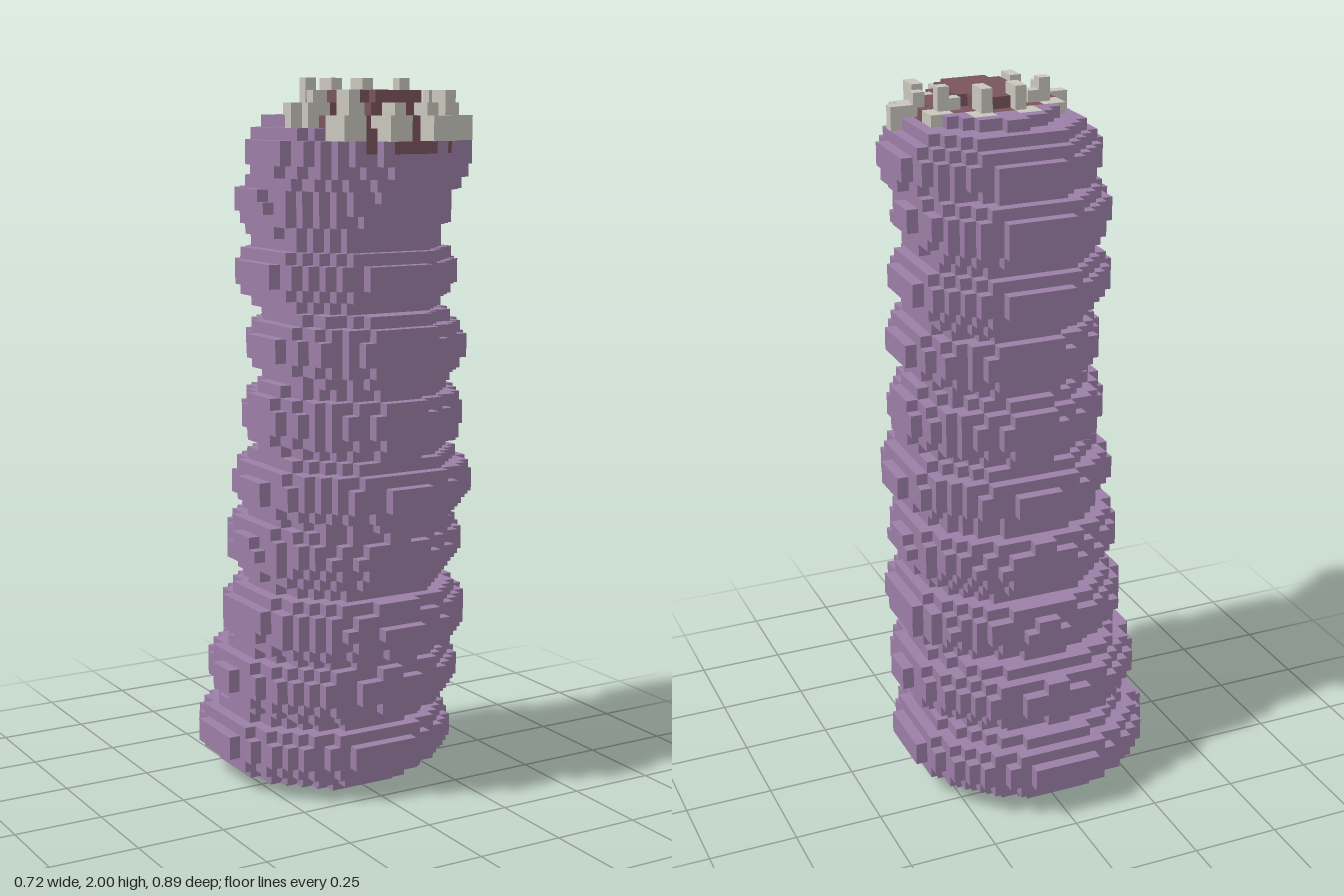
import * as THREE from 'three';

const V = 2 / 61; // voxel size

// Body rings from base to head, in voxels: [centre y, centre z, radius, half height]
const RINGS = [
  [4, -2.5, 10.9, 4.6], [10, -1, 10.65, 4.6], [15.6, 0.95, 10.25, 4.6],
  [21.7, 1, 9.8, 4.6], [27.2, 2.5, 9.75, 4.6], [33, 2.5, 9.15, 4.7],
  [39, 3, 8.9, 4.6], [45, 1.5, 8.95, 4.6], [50.6, 1.1, 8.75, 4.5],
  [54.7, 3.5, 9, 4.9],
];

// Teeth on the model's left, mirrored to the right: boxes as [x0, x1, y0, y1, z0, z1]
const TEETH = [
  [1, 2, 58, 58, 0, 1], [1, 1, 59, 60, 1, 2],
  [4, 5, 57, 58, 2, 3], [3, 4, 58, 59, 3, 3], [4, 4, 59, 60, 3, 3],
  [5, 6, 57, 58, 6, 7], [6, 7, 57, 58, 6, 6], [5, 5, 59, 59, 6, 6],
  [4, 5, 56, 57, 9, 11], [3, 4, 57, 58, 9, 9], [4, 4, 58, 59, 9, 10],
  [1, 2, 56, 57, 11, 13], [1, 1, 57, 58, 10, 12],
];

const inEllipsoid = (x, y, z, [cy, cz, r, h]) =>
  (x * x + (z - cz) ** 2) / (r * r) + ((y - cy) / h) ** 2 <= 1;

const key = (x, y, z) => `${x},${y},${z}`;

function fillVoxels() {
  const cells = new Map();
  const mouthDome = [56, 6, 6, 4.3];
  for (let y = 0; y < 60; y++)
    for (let x = -12; x < 12; x++)
      for (let z = -13; z <= 13; z++) {
        const cx = x + 0.5, cy = y + 0.5;
        const body = RINGS.some((ring) => inEllipsoid(cx, cy, z, ring));
        const dome = y >= 56 && inEllipsoid(cx, cy, z, mouthDome);
        const inMouth = y >= 55 && (cx / 6.2) ** 2 + ((z - 6.6) / 5.9) ** 2 < 1;
        if (body || dome) cells.set(key(x, y, z), dome || inMouth ? 'mouth' : 'body');
      }
  for (const [x0, x1, y0, y1, z0, z1] of TEETH)
    for (let x = x0; x <= x1; x++)
      for (let y = y0; y <= y1; y++)
        for (let z = z0; z <= z1; z++) {
          cells.set(key(x, y, z), 'teeth');
          cells.set(key(-1 - x, y, z), 'teeth');
        }
  return cells;
}

// Exposed faces of all voxels of one part
function voxelGeometry(cells, part) {
  const pos = [], nor = [], index = [];
  for (const [k, kind] of cells) {
    if (kind !== part) continue;
    const c = k.split(',').map(Number);
    const centre = [c[0] + 0.5, c[1] + 0.5, c[2]];
    for (let axis = 0; axis < 3; axis++)
      for (const s of [-1, 1]) {
        const n = [0, 0, 0];
        n[axis] = s;
        if (cells.has(key(c[0] + n[0], c[1] + n[1], c[2] + n[2]))) continue;
        const u = (axis + 1) % 3, w = (axis + 2) % 3, base = pos.length / 3;
        for (const [a, b] of [[-1, -1], [1, -1], [1, 1], [-1, 1]]) {
          const p = [...centre];
          p[axis] += s / 2;
          p[u] += (a * s) / 2;
          p[w] += b / 2;
          pos.push(p[0] * V, p[1] * V, p[2] * V);
          nor.push(...n);
        }
        index.push(base, base + 1, base + 2, base, base + 2, base + 3);
      }
  }
  const g = new THREE.BufferGeometry();
  g.setAttribute('position', new THREE.Float32BufferAttribute(pos, 3));
  g.setAttribute('normal', new THREE.Float32BufferAttribute(nor, 3));
  g.setIndex(index);
  return g;
}

export function createModel() {
  const group = new THREE.Group();
  group.name = 'segmentedWorm';
  const cells = fillVoxels();
  const colours = { body: ['purpleSkin', 0x9c7fa7], mouth: ['darkFlesh', 0x7a545d], teeth: ['bone', 0xc9c6bd] };
  for (const [part, [name, color]] of Object.entries(colours)) {
    const material = new THREE.MeshStandardMaterial({ color });
    material.name = name;
    const mesh = new THREE.Mesh(voxelGeometry(cells, part), material);
    mesh.name = part;
    group.add(mesh);
  }
  return group;
}
